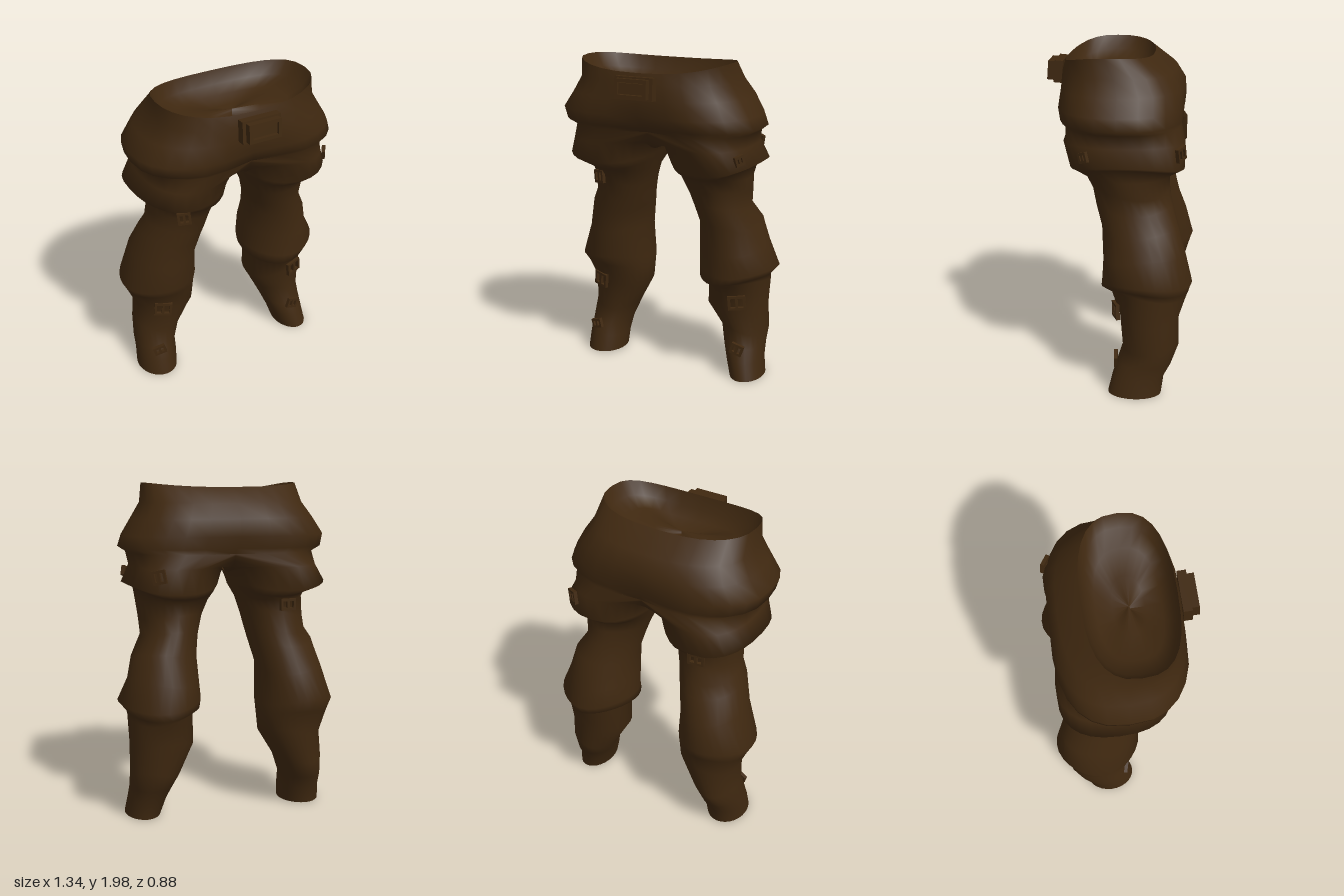
import * as THREE from 'three';
import { mergeGeometries, mergeVertices } from 'three/addons/utils/BufferGeometryUtils.js';

const N = 28;
const brown = new THREE.MeshStandardMaterial({ color: 0x3f2810, side: THREE.DoubleSide });
brown.name = 'brown cloth';

// Cross-sections from top to bottom: y, x min, x max, z back, z front, front centre recess
const hipRings = [
  [1.97, -0.5, 0.45, -0.2, 0.32, 0],
  [1.88, -0.515, 0.468, -0.33, 0.34, 0],
  [1.79, -0.575, 0.525, -0.39, 0.36, 0.02],
  [1.69, -0.645, 0.585, -0.4, 0.378, 0.05],
  [1.62, -0.63, 0.61, -0.4, 0.365, 0.08],
  [1.59, -0.57, 0.565, -0.395, 0.34, 0.09],
];
const leftRings = [
  [1.51, 0.01, 0.545, -0.4, 0.32, 0.11],
  [1.415, 0.045, 0.6, -0.395, 0.27, 0.07],
  [1.385, 0.06, 0.53, -0.36, 0.24, 0.05],
  [1.31, 0.09, 0.525, -0.305, 0.18, 0],
  [1.22, 0.135, 0.515, -0.305, 0.135, 0],
  [1.12, 0.165, 0.505, -0.32, 0.115, 0],
  [1.0, 0.185, 0.57, -0.365, 0.085, 0],
  [0.85, 0.18, 0.6, -0.415, 0.08, 0],
  [0.71, 0.17, 0.665, -0.44, 0.075, 0],
  [0.66, 0.175, 0.615, -0.425, 0.08, 0],
  [0.63, 0.225, 0.61, -0.41, 0.02, 0],
  [0.47, 0.22, 0.6, -0.38, -0.015, 0],
  [0.3, 0.31, 0.605, -0.372, -0.05, 0],
  [0.2, 0.345, 0.6, -0.335, -0.01, 0],
  [0.12, 0.375, 0.605, -0.29, 0.015, 0],
  [0.015, 0.41, 0.62, -0.275, 0.04, 0],
];
const rightRings = [
  [1.51, -0.575, -0.02, -0.4, 0.32, 0.11],
  [1.42, -0.63, -0.055, -0.395, 0.265, 0.07],
  [1.385, -0.51, -0.07, -0.36, 0.24, 0.05],
  [1.31, -0.505, -0.1, -0.305, 0.18, 0],
  [1.22, -0.505, -0.13, -0.305, 0.135, 0],
  [1.12, -0.515, -0.15, -0.32, 0.11, 0],
  [1.04, -0.555, -0.165, -0.345, 0.095, 0],
  [0.88, -0.595, -0.205, -0.405, 0.075, 0],
  [0.69, -0.67, -0.195, -0.435, 0.07, 0],
  [0.62, -0.635, -0.2, -0.41, 0.03, 0],
  [0.5, -0.59, -0.21, -0.38, -0.01, 0],
  [0.32, -0.6, -0.3, -0.37, -0.045, 0],
  [0.2, -0.61, -0.355, -0.335, -0.01, 0],
  [0.12, -0.615, -0.362, -0.29, 0.015, 0],
  [0.02, -0.62, -0.37, -0.275, 0.04, 0],
];

const soften = (v, e) => Math.sign(v) * Math.abs(v) ** e;
// Hips and flaps are squarer than the legs
const squareness = y => y > 1.55 ? 0.77 : y > 1.35 ? 0.83 : 1;

// Point on a cross-section at an angle (0 = +x, 90 degrees = front)
function sectionPoint([y, x0, x1, zb, zf], a) {
  const e = squareness(y), c = soften(Math.cos(a), e), s = soften(Math.sin(a), e);
  return new THREE.Vector3((x0 + x1) / 2 + (x1 - x0) / 2 * c, y, (zb + zf) / 2 + (zf - zb) / 2 * s);
}

// Draw in the cloth at the middle of the front, and slightly at the back
function recess(p, a, section) {
  const s = Math.sin(a), middle = Math.exp(-((p.x / 0.22) ** 2)) * s * s;
  p.z += (s > 0 ? -section[5] : section[5] * 0.5) * middle;
}

function makeRing(section, adjust) {
  return Array.from({ length: N }, (_, i) => {
    const a = i / N * Math.PI * 2, p = sectionPoint(section, a);
    adjust(p, a);
    recess(p, a, section);
    return p;
  });
}

// Skin a stack of rings
function loft(rings) {
  const pos = rings.flat().flatMap(p => [p.x, p.y, p.z]), index = [];
  for (let k = 0; k < rings.length - 1; k++) {
    for (let i = 0; i < N; i++) {
      const a = k * N + i, b = k * N + (i + 1) % N;
      index.push(a, b, a + N, b, b + N, a + N);
    }
  }
  const g = new THREE.BufferGeometry();
  g.setAttribute('position', new THREE.Float32BufferAttribute(pos, 3));
  g.setIndex(index);
  return g;
}

// Waist rim is highest at the sides
function hipAdjust(section) {
  const rim = section[0] > 1.95 ? 1 : 0;
  return (p, a) => {
    p.y += rim * (0.025 * Math.cos(a) ** 2 - 0.03 * Math.max(0, Math.sin(a)) ** 2);
  };
}

// Flaps hang lower at the front and back; diagonal folds run round the leg
function legAdjust(section, side) {
  const y = section[0], flap = y > 1.35 && y < 1.45 ? 1 : 0, fold = y > 0.25 && y < 1.25 ? 1 : 0;
  return (p, a) => {
    p.y += fold * 0.02 * Math.sin(a * 2 + y * 9 + side) - flap * 0.05 * Math.sin(a) ** 2;
    p.z += fold * 0.008 * Math.sin(a * 3 + y * 14) * Math.abs(Math.sin(a));
  };
}

// Each leg starts from half of the last hip ring plus a shared crotch seam
function legLoft(sections, side) {
  const top = makeRing(hipRings.at(-1), (p, a) => {
    if (Math.cos(a) * side < 1e-6) {
      p.x = -0.005;
      p.y = 1.47 + 0.12 * Math.abs(Math.sin(a)) ** 4;
    }
  });
  return loft([top, ...sections.map(s => makeRing(s, legAdjust(s, side)))]);
}

// Shallow bowl closing the waist
function liningGeometry() {
  const rim = makeRing(hipRings[0], hipAdjust(hipRings[0]));
  const steps = [[1, 0], [0.9, 0.08], [0.7, 0.13], [0.35, 0.15], [0.001, 0.155]];
  const g = loft(steps.map(([s, drop]) => rim.map(p =>
    new THREE.Vector3(-0.025 + (p.x + 0.025) * s, p.y - drop, 0.06 + (p.z - 0.06) * s))));
  g.computeVertexNormals();
  return g;
}

function add(group, name, geometry) {
  const m = new THREE.Mesh(geometry, brown);
  m.name = name;
  group.add(m);
  return m;
}

// Rectangular frame with an opening
function frameGeometry(w, h, t, depth) {
  const box = (path, x, y) => path.moveTo(-x, -y).lineTo(x, -y).lineTo(x, y).lineTo(-x, y).closePath();
  const shape = box(new THREE.Shape(), w / 2, h / 2);
  shape.holes.push(box(new THREE.Path(), w / 2 - t, h / 2 - t));
  return new THREE.ExtrudeGeometry(shape, { depth, bevelEnabled: false });
}

// Small strap buckle resting on a leg
function addBuckle(group, sections, y, angle, w, h, tilt) {
  const k = Math.max(1, sections.findIndex(s => s[0] <= y));
  const t = (sections[k - 1][0] - y) / (sections[k - 1][0] - sections[k][0]);
  const section = sections[k].map((v, j) => THREE.MathUtils.lerp(sections[k - 1][j], v, t));
  const a = THREE.MathUtils.degToRad(angle);
  const buckle = new THREE.Group();
  buckle.name = 'strapBuckle';
  buckle.position.copy(sectionPoint(section, a));
  buckle.rotation.set(0, Math.PI / 2 - a, tilt, 'YXZ');
  add(buckle, 'buckleFrame', frameGeometry(w, h, 0.015, 0.022));
  add(buckle, 'bucklePin', new THREE.BoxGeometry(0.015, h * 0.9, 0.02)).position.z = 0.012;
  group.add(buckle);
}

export function createModel() {
  const group = new THREE.Group();
  group.name = 'trousers';

  // Hips and both legs as one continuous cloth
  const hips = loft(hipRings.map(s => makeRing(s, hipAdjust(s))));
  const cloth = mergeVertices(mergeGeometries([hips, legLoft(leftRings, 1), legLoft(rightRings, -1)]), 1e-4);
  cloth.computeVertexNormals();
  add(group, 'cloth', cloth);
  add(group, 'waistLining', liningGeometry());

  // Belt buckle
  const belt = new THREE.Group();
  belt.name = 'beltBuckle';
  belt.position.set(-0.02, 1.86, 0.365);
  belt.rotation.x = -0.08;
  add(belt, 'beltPlate', new THREE.BoxGeometry(0.24, 0.13, 0.05));
  add(belt, 'beltFrame', frameGeometry(0.2, 0.11, 0.02, 0.04)).position.z = 0.025;
  add(belt, 'beltTongue', new THREE.BoxGeometry(0.16, 0.06, 0.03)).position.z = 0.035;
  group.add(belt);

  // Strap buckles on the legs
  addBuckle(group, rightRings, 1.26, 112, 0.08, 0.08, 0.1);
  addBuckle(group, rightRings, 0.52, 112, 0.11, 0.09, -0.1);
  addBuckle(group, rightRings, 0.2, 105, 0.08, 0.06, 0.3);
  addBuckle(group, rightRings, 1.28, -100, 0.1, 0.07, 0);
  addBuckle(group, leftRings, 0.52, 72, 0.11, 0.09, 0.1);
  addBuckle(group, leftRings, 0.21, 86, 0.08, 0.07, -0.3);
  addBuckle(group, leftRings, 1.46, 35, 0.06, 0.06, 0.3);
  addBuckle(group, leftRings, 1.47, -60, 0.08, 0.08, 0.2);
  return group;
}
